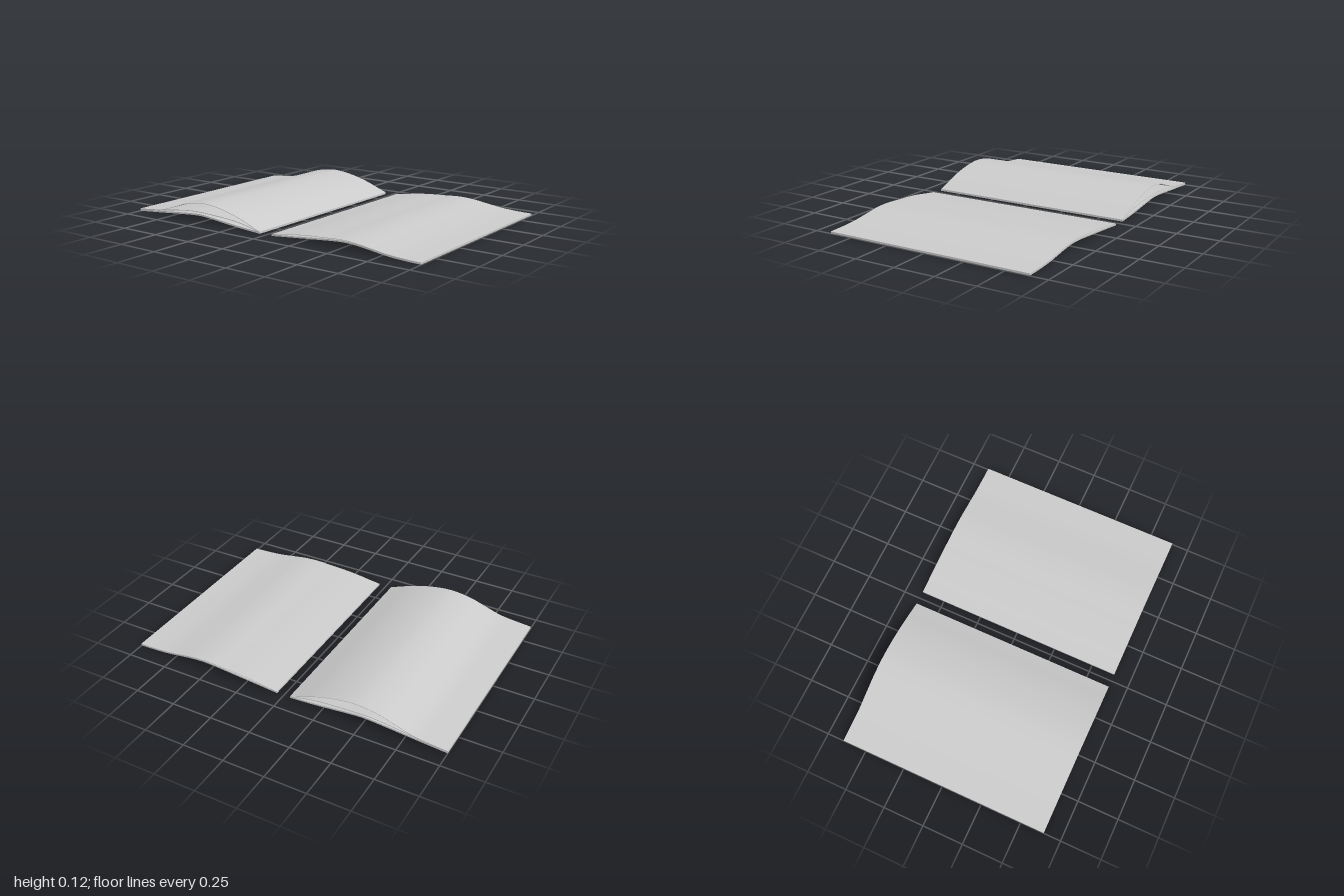
import * as THREE from 'three';
import { toCreasedNormals } from 'three/addons/utils/BufferGeometryUtils.js';

const DEPTH = 1.29;
const paper = new THREE.MeshStandardMaterial({ color: 0xcccccc, side: THREE.DoubleSide });

// A curved sheet: its upper profile [x, y] is thickened downward and run along z.
function makeSheet(name, profile, thickness) {
  const top = new THREE.SplineCurve(profile.map(([x, y]) => new THREE.Vector2(x, y))).getPoints(36);
  const bottom = top.map((p) => new THREE.Vector2(p.x, Math.max(0, p.y - thickness))).reverse();
  const geometry = new THREE.ExtrudeGeometry(new THREE.Shape([...top, ...bottom]), {
    depth: DEPTH, bevelEnabled: false, steps: 1,
  });
  geometry.translate(0, 0, -DEPTH / 2);
  const mesh = new THREE.Mesh(toCreasedNormals(geometry, 0.6), paper);
  mesh.name = name;
  return mesh;
}

export function createModel() {
  const model = new THREE.Group();
  model.name = 'openPages';

  // Right-hand stack: three leaves, the upper ones lifting off
  const rightStack = new THREE.Group();
  rightStack.name = 'rightPageStack';
  rightStack.add(
    makeSheet('bottomLeaf', [[-1, 0.01], [-0.9, 0.018], [-0.8, 0.026], [-0.65, 0.039], [-0.52, 0.048],
      [-0.44, 0.045], [-0.3, 0.031], [-0.2, 0.021], [-0.043, 0.01]], 0.01),
    makeSheet('middleLeaf', [[-1, 0.012], [-0.9, 0.022], [-0.8, 0.034], [-0.7, 0.048], [-0.6, 0.059],
      [-0.5, 0.063], [-0.3, 0.054], [-0.2, 0.044], [-0.12, 0.029], [-0.043, 0.01]], 0.004),
    makeSheet('raisedLeaf', [[-1, 0.015], [-0.9, 0.024], [-0.8, 0.037], [-0.7, 0.068], [-0.6, 0.1],
      [-0.49, 0.117], [-0.4, 0.114], [-0.3, 0.097], [-0.2, 0.07], [-0.1, 0.033], [-0.043, 0.012]], 0.003),
  );

  // Left-hand stack: two leaves lying almost together
  const leftStack = new THREE.Group();
  leftStack.name = 'leftPageStack';
  leftStack.add(
    makeSheet('bottomLeaf', [[0.043, 0.01], [0.2, 0.024], [0.35, 0.037], [0.5, 0.049], [0.6, 0.047],
      [0.7, 0.035], [0.8, 0.021], [0.9, 0.014], [1, 0.011]], 0.009),
    makeSheet('topLeaf', [[0.043, 0.012], [0.12, 0.022], [0.2, 0.034], [0.3, 0.044], [0.4, 0.049], [0.5, 0.055],
      [0.6, 0.051], [0.7, 0.037], [0.8, 0.023], [0.9, 0.016], [1, 0.013]], 0.003),
  );

  model.add(rightStack, leftStack);
  return model;
}
